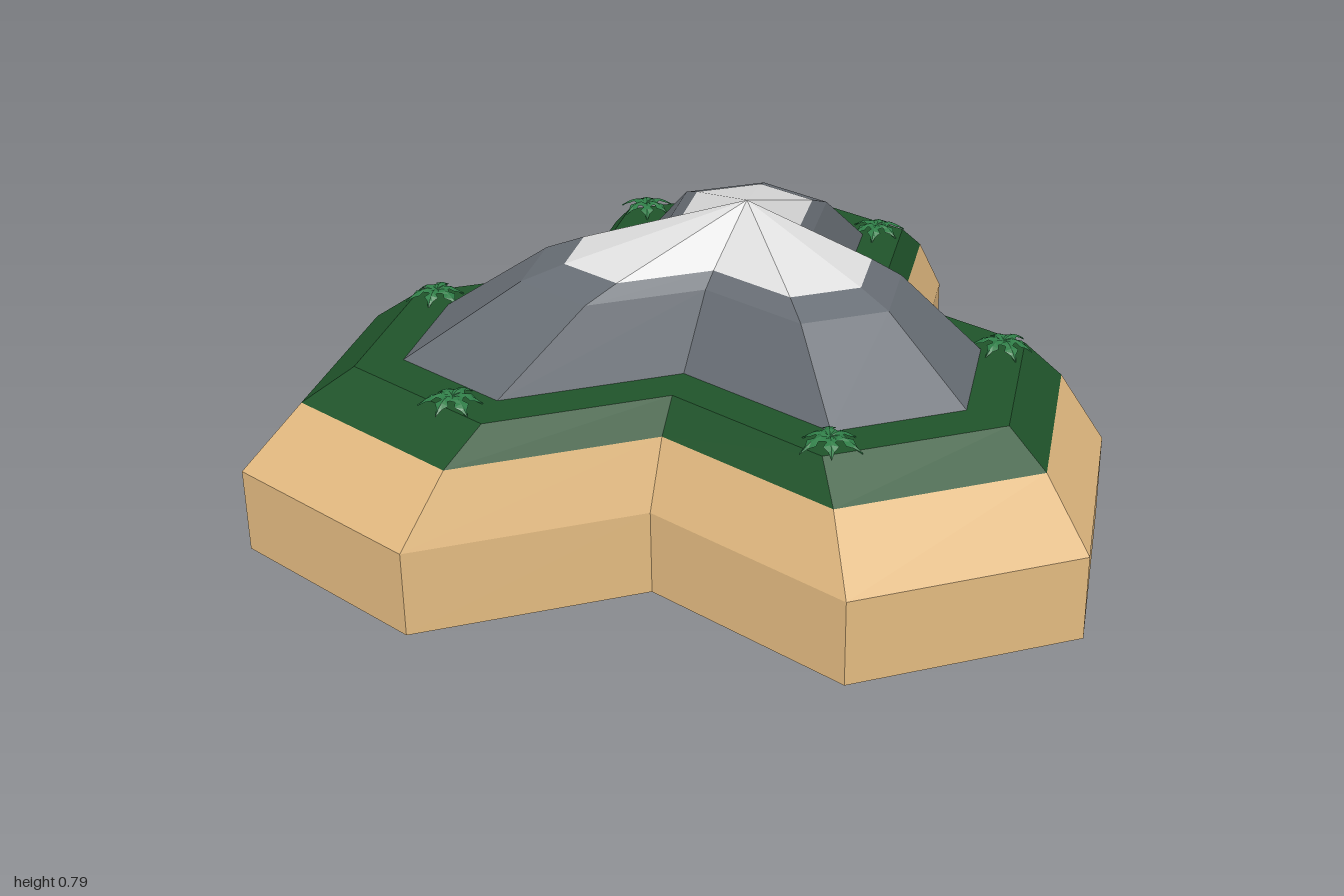
import * as THREE from 'three';

const flat = (name, color) => {
  const material = new THREE.MeshStandardMaterial({ color, flatShading: true, side: THREE.DoubleSide });
  material.name = name;
  return material;
};

// Shoreline of three joined hexagons: right half from front tip to back notch, then mirrored
const half = [[0, 1], [0.495, 0.715], [0.495, 0.143], [0.99, -0.143],
  [0.99, -0.715], [0.495, -1], [0, -0.715]];
const shore = [...half, ...half.slice(1, -1).reverse().map(([x, z]) => [-x, z])];

// Shoreline scaled about the peak axis, at height y
const ring = (s, y) => shore.map(([x, z]) => new THREE.Vector3(x * s, y, z * s));

// Shrinks a ring towards the peak axis at a new height
const shrink = (points, f, y) => points.map((p) => new THREE.Vector3(p.x * f, y, p.z * f));

// Moves every edge of a ring inwards by d
function inset(points, d) {
  const n = points.length;
  const inward = points.map((p, i) => {
    const e = points[(i + 1) % n].clone().sub(p).normalize();
    return new THREE.Vector3(e.z, 0, -e.x);
  });
  return points.map((p, i) => {
    const a = inward[(i + n - 1) % n], b = inward[i];
    return p.clone().addScaledVector(a.clone().add(b), d / (1 + a.dot(b)));
  });
}

function toGeometry(points) {
  const g = new THREE.BufferGeometry().setFromPoints(points);
  g.computeVertexNormals();
  return g;
}

// Flat-faced strips through successive rings
function bands(rings) {
  const out = [];
  for (let r = 0; r + 1 < rings.length; r++) {
    const lo = rings[r], hi = rings[r + 1], n = lo.length;
    for (let i = 0; i < n; i++) {
      const j = (i + 1) % n;
      out.push(lo[i], lo[j], hi[j], lo[i], hi[j], hi[i]);
    }
  }
  return toGeometry(out);
}

// Drooping star of jagged fronds
function palmGeometry() {
  const radius = [0, 0.02, 0.034, 0.046, 0.058, 0.076];
  const height = [0.022, 0.027, 0.026, 0.021, 0.014, 0.001];
  const width = [0.006, 0.019, 0.009, 0.018, 0.007, 0];
  const out = [], count = 6, up = new THREE.Vector3(0, 1, 0);
  for (let f = 0; f < count; f++) {
    const a = (f * 2 * Math.PI) / count;
    const reach = f % 2 ? 0.9 : 1.04;
    const at = (i, side) => new THREE.Vector3(
      side * width[i], height[i] - Math.abs(side) * 0.004, radius[i] * reach).applyAxisAngle(up, a);
    for (let i = 0; i + 1 < radius.length; i++) {
      for (const [l, r] of [[-1, 0], [0, 1]]) {
        out.push(at(i, l), at(i + 1, r), at(i, r), at(i, l), at(i + 1, l), at(i + 1, r));
      }
    }
  }
  return toGeometry(out);
}

export function createModel() {
  const sand = flat('sand', 0xe4bb81);
  const grass = flat('darkGrass', 0x1f532a);
  const rock = flat('rock', 0x676d74);
  const snow = flat('snow', 0xdedede);
  const leaf = flat('palmLeaf', 0x2f7d47);

  const model = new THREE.Group();
  model.name = 'mountainIsland';
  const add = (name, geometry, material) => {
    const mesh = new THREE.Mesh(geometry, material);
    mesh.name = name;
    model.add(mesh);
    return mesh;
  };

  // Open-bottomed shore wall and beach slope
  const grassEdge = ring(0.875, 0.375);
  add('beach', bands([ring(1, 0), ring(1, 0.21), grassEdge]), sand);

  // Grassy slope and level terrace
  const rim = ring(0.77, 0.455);
  const foot = inset(rim, 0.1);
  add('grassTerrace', bands([grassEdge, rim, foot]), grass);

  // Mountain and its snow cap
  const snowLine = shrink(foot, 0.53, 0.665);
  add('mountain', bands([foot, shrink(foot, 0.655, 0.63), snowLine]), rock);
  const peak = new THREE.Vector3(0, 0.79, 0);
  const cap = snowLine.flatMap((p, i) => [p, snowLine[(i + 1) % snowLine.length], peak]);
  add('snowCap', toGeometry(cap), snow);

  // Palms around the terrace
  const palm = palmGeometry();
  const spots = [[-0.37, -0.71], [0.41, -0.73], [0.03, -0.54], [-0.74, -0.23],
    [0.7, -0.15], [-0.33, 0.53], [0.32, 0.53]];
  spots.forEach(([x, z], i) => {
    const mesh = add('palm', palm, leaf);
    mesh.position.set(x, 0.455, z);
    mesh.rotation.y = i * 1.3;
  });
  return model;
}
